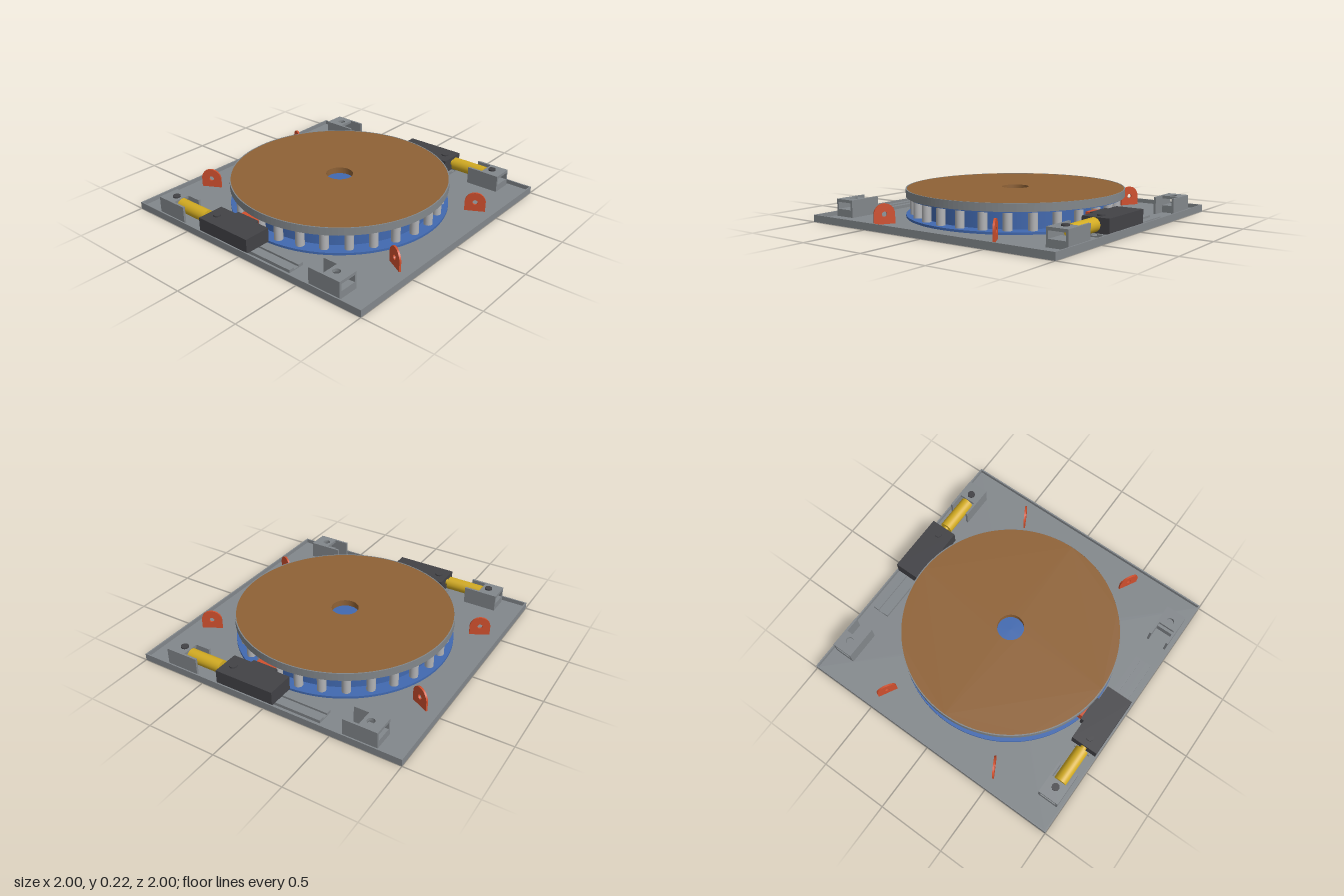
import * as THREE from 'three';

const mat = (name, hex) => {
  const m = new THREE.MeshStandardMaterial({ color: hex });
  m.name = name;
  return m;
};

export function createModel() {
  const root = new THREE.Group();
  root.name = 'turntable';
  const grey = mat('grey', 0x82878b);
  const dark = mat('charcoal', 0x424246);
  const brown = mat('brown', 0x8f6236);
  const blue = mat('blue', 0x4169b0);
  const yellow = mat('yellow', 0xd2ab22);
  const red = mat('orange red', 0xd0502e);
  const silver = mat('silver', 0xb2b3b6);

  const add = (parent, name, geo, material) => {
    const m = new THREE.Mesh(geo, material);
    m.name = name;
    parent.add(m);
    return m;
  };
  // box given by its limits on each axis
  const box = (parent, name, material, x0, x1, y0, y1, z0, z1) =>
    add(parent, name, new THREE.BoxGeometry(x1 - x0, y1 - y0, z1 - z0), material)
      .position.set((x0 + x1) / 2, (y0 + y1) / 2, (z0 + z1) / 2);
  // upright cylinder between two heights
  const disc = (parent, name, material, r, y0, y1, x = 0, z = 0, seg = 96) =>
    add(parent, name, new THREE.CylinderGeometry(r, r, y1 - y0, seg), material)
      .position.set(x, (y0 + y1) / 2, z);
  // cylinder lying along z
  const rod = (parent, name, material, r, x, y, z0, z1) => {
    const m = add(parent, name, new THREE.CylinderGeometry(r, r, z1 - z0, 32), material);
    m.rotation.x = Math.PI / 2;
    m.position.set(x, y, (z0 + z1) / 2);
  };
  const circle = (r, x = 0, y = 0) => new THREE.Path().absarc(x, y, r, 0, Math.PI * 2, true);
  const rect = (hx, hy) => new THREE.Shape([
    new THREE.Vector2(-hx, -hy), new THREE.Vector2(hx, -hy),
    new THREE.Vector2(hx, hy), new THREE.Vector2(-hx, hy)]);
  const round = (r) => new THREE.Shape().absarc(0, 0, r, 0, Math.PI * 2, false);
  // horizontal plate with holes
  const plate = (parent, name, material, shape, holes, y0, y1) => {
    shape.holes.push(...holes);
    const geo = new THREE.ExtrudeGeometry(shape, { depth: y1 - y0, bevelEnabled: false, curveSegments: 64 });
    geo.rotateX(-Math.PI / 2);
    const m = add(parent, name, geo, material);
    m.position.y = y0;
    return m;
  };

  // shallow base tray with a raised rim
  const FLOOR = 0.02;
  plate(root, 'baseFloor', grey, rect(0.99, 0.99), [circle(0.035)], 0, FLOOR);
  plate(root, 'baseRim', grey, rect(1, 1), [rect(0.99, 0.99)], 0, 0.05);
  disc(root, 'centrePin', dark, 0.034, 0.008, 0.03, 0, 0, 32);

  // blue bearing drum and flanges
  disc(root, 'lowerFlange', blue, 0.78, FLOOR, 0.036);
  disc(root, 'drum', blue, 0.68, 0.036, 0.158);
  disc(root, 'upperFlange', blue, 0.765, 0.157, 0.174);

  // ring of rollers
  const rollers = new THREE.Group();
  rollers.name = 'rollers';
  root.add(rollers);
  const count = 28;
  for (let i = 0; i < count; i++) {
    const a = (i + 0.5) / count * Math.PI * 2;
    disc(rollers, 'roller', silver, 0.031, 0.036, 0.157, 0.72 * Math.sin(a), 0.72 * Math.cos(a), 24);
  }

  // rotating platter with brown surface
  plate(root, 'platterRim', grey, round(0.78), [circle(0.772)], 0.165, 0.22);
  plate(root, 'platterUnderside', grey, round(0.775), [circle(0.764)], 0.165, 0.18);
  plate(root, 'platterSurface', brown, round(0.772), [circle(0.096)], 0.174, 0.219);

  // four radial lugs with an eye
  const lug = new THREE.Shape();
  const eyeY = 0.087, lugR = 0.073;
  lug.moveTo(-lugR, FLOOR);
  lug.lineTo(lugR, FLOOR);
  lug.lineTo(lugR, eyeY);
  lug.absarc(0, eyeY, lugR, 0, Math.PI, false);
  lug.closePath();
  lug.holes.push(circle(0.018, 0, eyeY));
  const lugGeo = new THREE.ExtrudeGeometry(lug, { depth: 0.013, bevelEnabled: false, curveSegments: 24 });
  lugGeo.translate(0, 0, -0.0065);
  for (const sx of [-1, 1]) for (const sz of [-1, 1]) {
    const m = add(root, 'lug', lugGeo, red);
    m.position.set(sx * 0.468, 0, sz * 0.846);
    m.rotation.y = Math.atan2(-sz * 0.127, sx * 0.07);
  }

  // slotted bracket; its arms point towards the middle (dir = sign of z)
  const X = 0.89, H = 0.143;
  const bracket = (parent, dir) => {
    const g = new THREE.Group();
    g.name = 'bracket';
    g.position.set(X, 0, 0);
    parent.add(g);
    const top = plate(g, 'bracketTop', grey, rect(0.077, 0.069), [circle(0.027, 0, -dir * -0.02)], 0.122, H);
    top.position.z = dir * 0.747;
    const span = (a, b) => dir > 0 ? [a, b] : [-b, -a];
    box(g, 'bracketBottom', grey, -0.077, 0.077, FLOOR, 0.072, ...span(0.678, 0.816));
    for (const s of [-1, 1]) {
      const [x0, x1] = s > 0 ? [0.061, 0.077] : [-0.077, -0.061];
      box(g, 'bracketSide', grey, x0, x1, 0.072, 0.122, ...span(0.678, 0.816));
      box(g, 'bracketArm', grey, x0, x1, FLOOR, H, ...span(0.57, 0.678));
    }
  };

  // one drive station, repeated by a half turn
  for (const turn of [0, Math.PI]) {
    const g = new THREE.Group();
    g.name = 'driveStation';
    g.rotation.y = turn;
    root.add(g);
    bracket(g, 1);
    bracket(g, -1);
    disc(g, 'bracketBolt', dark, 0.027, 0.122, 0.153, X, 0.727, 32);

    // slide rails
    box(g, 'railBed', grey, X - 0.062, X + 0.062, FLOOR, 0.028, -0.4, 0.4);
    for (const s of [-1, 1])
      box(g, 'rail', grey, X + s * 0.041 - 0.021, X + s * 0.041 + 0.021, 0.028, 0.042, -0.4, 0.4);

    // gearbox with pressure pad
    box(g, 'gearbox', dark, 0.79, 0.988, 0.042, H, -0.063, 0.382);
    box(g, 'padHolder', dark, 0.765, 0.79, 0.042, H, 0.05, 0.24);
    box(g, 'pressurePad', red, 0.72, 0.765, 0.045, 0.138, 0.07, 0.22);
    disc(g, 'gearboxBolt', dark, 0.027, H, 0.153, X, 0.313, 32);

    // actuator
    rod(g, 'actuator', yellow, 0.047, X, 0.099, 0.405, 0.672);
    rod(g, 'actuatorShaft', yellow, 0.022, X, 0.099, 0.38, 0.405);
  }
  return root;
}
